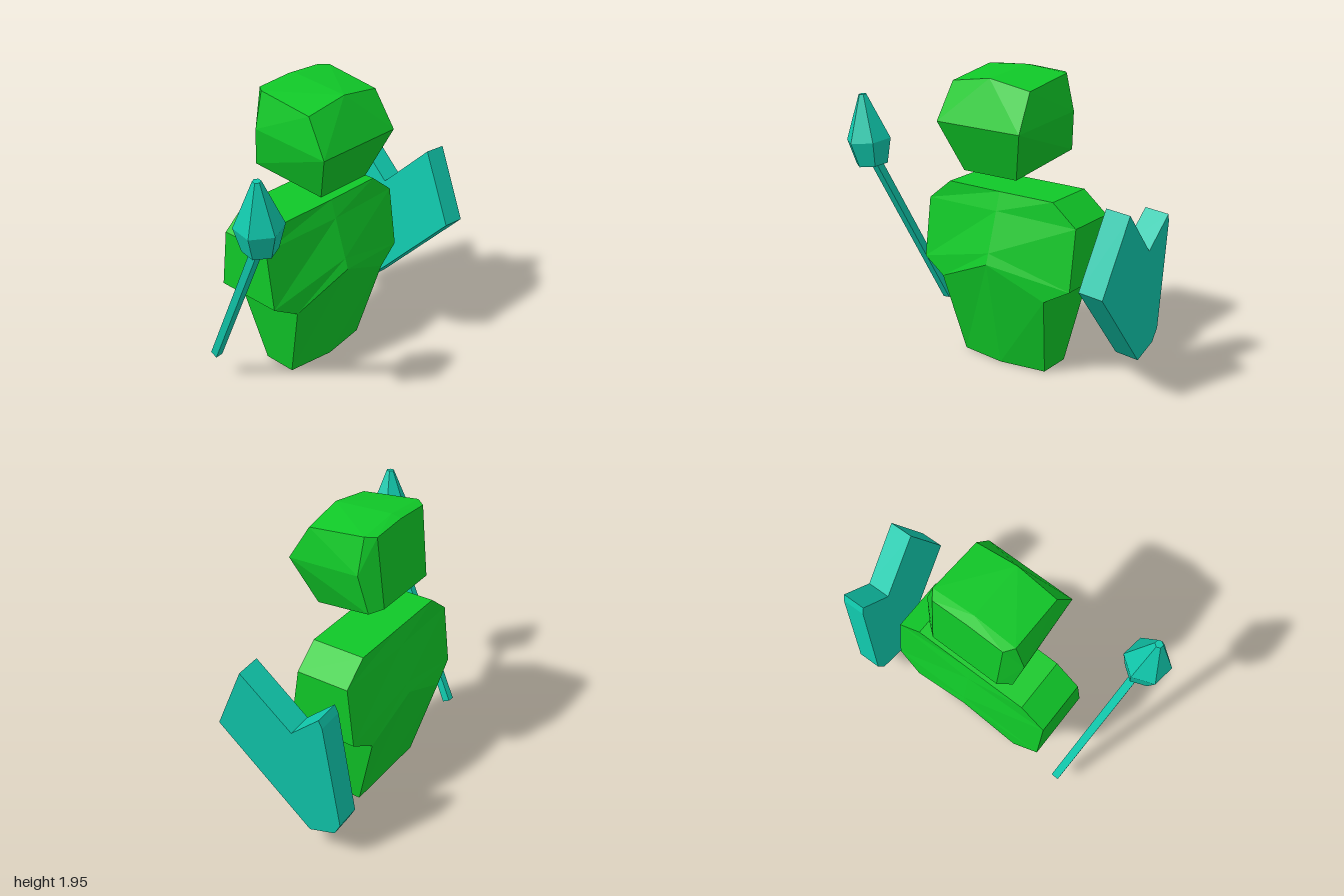
import * as THREE from 'three';
import { ConvexGeometry } from 'three/addons/geometries/ConvexGeometry.js';

const green = new THREE.MeshStandardMaterial({ color: 0x10c828, flatShading: true });
const teal = new THREE.MeshStandardMaterial({ color: 0x10c8ac, flatShading: true });

function part(name, geometry, material) {
  const mesh = new THREE.Mesh(geometry, material);
  mesh.name = name;
  return mesh;
}

// Skin a stack of closed rings (bottom to top) and cap both ends.
function loft(rings) {
  const n = rings[0].length, last = (rings.length - 1) * n, index = [];
  for (let r = 0; r < rings.length - 1; r++) {
    for (let i = 0; i < n; i++) {
      const a = r * n + i, b = r * n + (i + 1) % n;
      index.push(a, b, b + n, a, b + n, a + n);
    }
  }
  for (let i = 1; i < n - 1; i++) {
    index.push(0, i + 1, i, last, last + i, last + i + 1);
  }
  const g = new THREE.BufferGeometry();
  g.setAttribute('position', new THREE.Float32BufferAttribute(rings.flat(2), 3));
  g.setIndex(index);
  const flat = g.toNonIndexed();
  flat.computeVertexNormals();
  return flat;
}

// Torso: tapered waist, peaked chest line, chamfered shoulders.
function makeTorso() {
  // side x, side y, side front z, side back z, centre y, centre front z, centre back z
  const levels = [
    [0.32, 0, 0, -0.23, 0, 0.045, -0.23],
    [0.4, 0.55, 0.14, -0.38, 0.73, 0.2, -0.4],
    [0.57, 0.645, 0.11, -0.355, 0.8, 0.177, -0.386],
    [0.57, 1.04, 0.05, -0.31, 1.06, 0.092, -0.334],
    [0.4, 1.18, 0.05, -0.31, 1.18, 0.055, -0.31],
  ];
  return loft(levels.map(([x, y, f, b, cy, cf, cb]) => [
    [-x, y, f], [0, cy, cf], [x, y, f], [x, y, b], [0, cy, cb], [-x, y, b],
  ]));
}

// Head: convex faceted block, mirrored left to right.
function makeHead() {
  const half = [
    [0.31, 1.635, 0.285], [0.2, 1.31, 0.155], [0.29, 1.87, 0.145],
    [0.295, 1.92, -0.245], [0.355, 1.69, -0.24], [0.315, 1.43, -0.29],
    [0.2, 1.375, -0.235], [0.25, 1.915, -0.305], [0.24, 1.45, -0.352],
    [0, 1.918, 0.155], [0, 1.945, -0.24], [0, 1.93, -0.305],
  ];
  const points = [];
  for (const [x, y, z] of half) {
    points.push(new THREE.Vector3(x, y, z));
    if (x > 0) points.push(new THREE.Vector3(-x, y, z));
  }
  return new ConvexGeometry(points);
}

// Shield: notched slab, leaning slightly outward at the top.
function makeShield() {
  const outline = [
    [0.145, 1.25], [-0.18, 0.93], [-0.385, 1.115], [-0.405, 1.06],
    [-0.465, 0.305], [-0.42, 0.22], [-0.235, 0.16], [0.365, 0.785],
  ].map(([z, y]) => new THREE.Vector2(-z, y));
  const g = new THREE.ExtrudeGeometry(new THREE.Shape(outline), { depth: 0.162, bevelEnabled: false });
  g.rotateY(Math.PI / 2);
  const p = g.attributes.position;
  for (let i = 0; i < p.count; i++) {
    const x = p.getX(i), y = p.getY(i), z = p.getZ(i);
    p.setXYZ(i, x + 0.7025 + 0.102 * y + 0.034 * z, y - 0.09 * x, z);
  }
  g.computeVertexNormals();
  return g;
}

// Mace: slanted square shaft with a six-sided pointed head.
function makeMace() {
  const mace = new THREE.Group();
  mace.name = 'mace';
  const bottom = new THREE.Vector3(-0.71, 0.2, -0.295);
  const top = new THREE.Vector3(-0.837, 1.3, 0.28);
  const shaft = part('maceShaft', new THREE.BoxGeometry(0.052, bottom.distanceTo(top), 0.052), teal);
  shaft.position.copy(bottom).lerp(top, 0.5);
  shaft.quaternion.setFromUnitVectors(new THREE.Vector3(0, 1, 0), top.clone().sub(bottom).normalize());

  const profile = [[0, -0.165], [0.107, -0.165], [0.15, 0], [0.026, 0.295], [0, 0.295]]
    .map(([r, y]) => new THREE.Vector2(r, y));
  const tip = part('maceHead', new THREE.LatheGeometry(profile, 6, -0.13), teal);
  tip.position.set(-0.86, 1.447, 0.31);
  tip.rotation.set(0.06, 0, 0.08);
  mace.add(shaft, tip);
  return mace;
}

export function createModel() {
  const model = new THREE.Group();
  model.name = 'guard';
  model.add(
    part('torso', makeTorso(), green),
    part('head', makeHead(), green),
    part('shield', makeShield(), teal),
    makeMace(),
  );
  return model;
}
